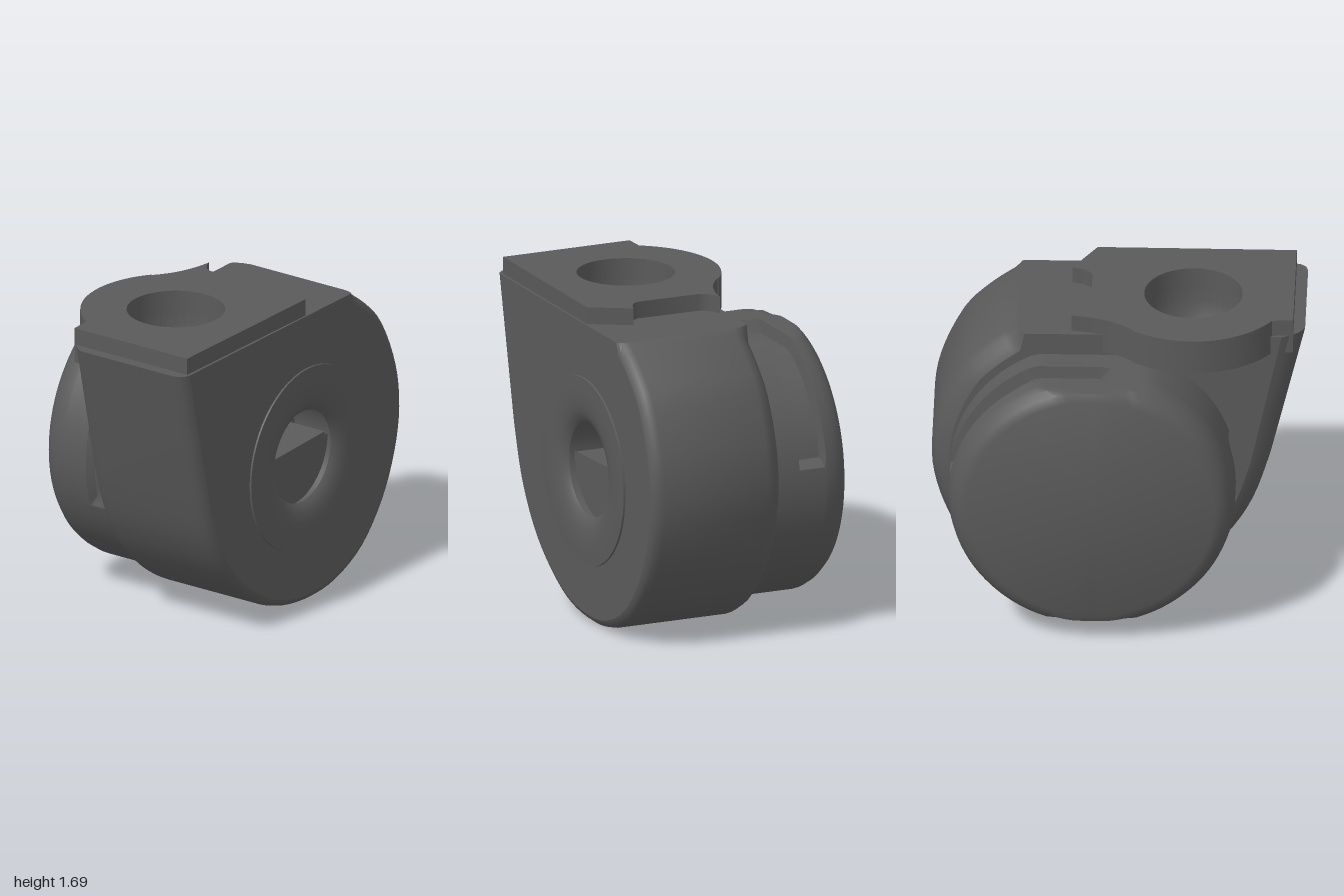
import * as THREE from 'three';
import { toCreasedNormals } from 'three/addons/utils/BufferGeometryUtils.js';

export function createModel() {
  const model = new THREE.Group();
  const blower = new THREE.Group();
  blower.name = 'blower';
  blower.rotation.y = -0.178;
  model.add(blower);

  const grey = new THREE.MeshStandardMaterial({ color: 0x5a5a5a, side: THREE.DoubleSide });
  grey.name = 'dark grey';

  const add = (name, geometry, crease = 0.6) => {
    const mesh = new THREE.Mesh(toCreasedNormals(geometry, crease), grey);
    mesh.name = name;
    blower.add(mesh);
    return mesh;
  };
  const V = (x, y) => new THREE.Vector2(x, y);
  const circle = (x, y, r) => new THREE.Path().absarc(x, y, r, 0, Math.PI * 2, true);

  // Scroll housing: an open snail outline (z, y), running from front top to back top
  const axisY = 0.81, axisZ = -0.15, topY = 1.6;
  const curve = new THREE.SplineCurve([
    [0.755, 0.85], [0.665, 0.58], [0.53, 0.36], [0.35, 0.19], [0.1, 0.05], [-0.17, 0],
    [-0.42, 0.025], [-0.66, 0.14], [-0.845, 0.35], [-0.955, 0.59], [-0.998, 0.83],
    [-0.965, 1.08], [-0.85, 1.34], [-0.71, 1.49], [-0.56, 1.6],
  ].map(p => V(...p)));
  const outline = [V(0.935, topY), ...curve.getPoints(56)];
  const last = outline.length - 1;
  const section = s => outline.map((p, i) => V(
    axisZ + (p.x - axisZ) * s,
    i === 0 || i === last ? topY : axisY + (p.y - axisY) * s));
  const stations = [
    [-0.21, 0.89], [-0.19, 0.935], [-0.155, 0.975], [-0.11, 1],
    [0.48, 1], [0.515, 0.99], [0.537, 0.97], [0.546, 0.945],
  ];
  const rings = stations.map(([x, s]) => section(s).map(p => [x, p.y, p.x]));
  const pos = [], index = [], n = outline.length;
  rings.forEach(r => r.forEach(p => pos.push(...p)));
  for (let j = 0; j < rings.length - 1; j++) {
    for (let i = 0; i < n - 1; i++) {
      const a = j * n + i, b = a + n;
      index.push(a, a + 1, b, b, a + 1, b + 1);
    }
  }
  const shell = new THREE.BufferGeometry();
  shell.setAttribute('position', new THREE.Float32BufferAttribute(pos, 3));
  shell.setIndex(index);
  add('scrollHousing', shell, 0.7);

  // Flat side walls, the right one open for the inlet
  const sideWall = (name, k, hole) => {
    const shape = new THREE.Shape(section(stations[k][1]));
    if (hole) shape.holes.push(circle(axisZ, axisY, hole));
    const g = new THREE.ShapeGeometry(shape, 48).rotateY(-Math.PI / 2);
    add(name, g.translate(stations[k][0], 0, 0));
  };
  sideWall('leftWall', 0, 0);
  sideWall('rightWall', stations.length - 1, 0.49);

  // Top deck, open under the outlet
  const outX = 0.074, outZ = 0.352, outR = 0.255;
  const deck = new THREE.Shape([
    ...rings.map(r => V(r[0][0], r[0][2])),
    ...rings.map(r => V(r[last][0], r[last][2])).reverse(),
  ]);
  deck.holes.push(circle(outX, outZ, 0.28));
  add('topDeck', new THREE.ShapeGeometry(deck, 32).rotateX(Math.PI / 2).translate(0, topY, 0));

  // Outlet flange with a round ear and a round opening
  const flange = new THREE.Shape();
  flange.moveTo(-0.193, 0.875);
  flange.lineTo(0.53, 0.875);
  flange.lineTo(0.535, -0.156);
  flange.lineTo(0.325, -0.28);
  flange.quadraticCurveTo(0.3, -0.185, 0.25, -0.175);
  flange.lineTo(-0.09, -0.18);
  flange.quadraticCurveTo(-0.15, -0.19, -0.171, -0.274);
  flange.quadraticCurveTo(-0.19, -0.08, -0.307, 0.044);
  flange.absarc(outX, outZ, 0.495, 3.82, 2.15, true);
  flange.holes.push(circle(outX, outZ, outR));
  const flangeGeo = new THREE.ExtrudeGeometry(flange, { depth: 0.19, bevelEnabled: false, curveSegments: 32 });
  add('outletFlange', flangeGeo.rotateX(Math.PI / 2).translate(0, 1.69, 0));

  // Bowl below the outlet
  const bowl = [[0, 1.25], [0.1, 1.265], [0.18, 1.31], [0.235, 1.39], [outR, 1.5], [outR, 1.6]];
  add('outletBowl', new THREE.LatheGeometry(bowl.map(p => V(...p)), 40).translate(outX, 0, outZ), 0.9);

  // Shapes turned about the side axis
  const turned = (points, sides) =>
    new THREE.LatheGeometry(points.map(p => V(...p)), sides).rotateZ(-Math.PI / 2);

  // Inlet ring, shallowly dished towards the hole, and the chamber behind it
  add('inletRing', turned([
    [0.25, 0.515], [0.27, 0.533], [0.31, 0.548], [0.36, 0.556], [0.42, 0.558],
    [0.5, 0.556], [0.502, 0.53],
  ], 56).translate(0, axisY, axisZ), 0.7);
  add('inletChamber', turned([[0, 0.25], [0.3, 0.25], [0.3, 0.52]], 40)
    .translate(0, axisY, axisZ));

  // Baffle: a half disc closing the lower part of the hole, with a ledge and a rib above
  add('lowerBaffle', new THREE.CircleGeometry(0.3, 24, Math.PI, Math.PI)
    .rotateY(Math.PI / 2).translate(0.46, axisY + 0.02, axisZ));
  const ledge = add('baffleLedge', new THREE.BoxGeometry(0.22, 0.02, 0.52));
  ledge.position.set(0.36, 0.835, axisZ);
  ledge.rotation.x = 0.04;
  add('baffleRib', new THREE.BoxGeometry(0.08, 0.24, 0.012)).position.set(0.29, 0.95, axisZ + 0.04);

  // Motor: round drum with a rounded end, flattened above and below, with sunken windows
  const motor = turned([
    [0, -0.635], [0.64, -0.635], [0.685, -0.615], [0.715, -0.58], [0.732, -0.54], [0.742, -0.49],
    [0.742, -0.48], [0.742, -0.345], [0.742, -0.335], [0.742, -0.3], [0.742, -0.22], [0.742, -0.18],
  ], 96);
  const windows = [
    { from: 85, to: 170, x0: -0.485, x1: -0.34, depth: 0.065 },
    { from: -17, to: 17, x0: -0.31, x1: -0.21, depth: 0.03 },
  ];
  const mp = motor.attributes.position;
  for (let i = 0; i < mp.count; i++) {
    const x = mp.getX(i), y = mp.getY(i), z = mp.getZ(i);
    const deg = Math.atan2(y, z) * 180 / Math.PI;
    const sunk = windows.find(w => x > w.x0 && x < w.x1 && deg > w.from && deg < w.to);
    const depth = sunk ? sunk.depth : 0;
    const f = 1 - depth / 0.742, flat = 0.68 - depth;
    mp.setXYZ(i, x, 0.8 + THREE.MathUtils.clamp(y * f, -flat, flat), -0.16 + z * f);
  }
  add('motorDrum', motor, 0.6);

  return model;
}
